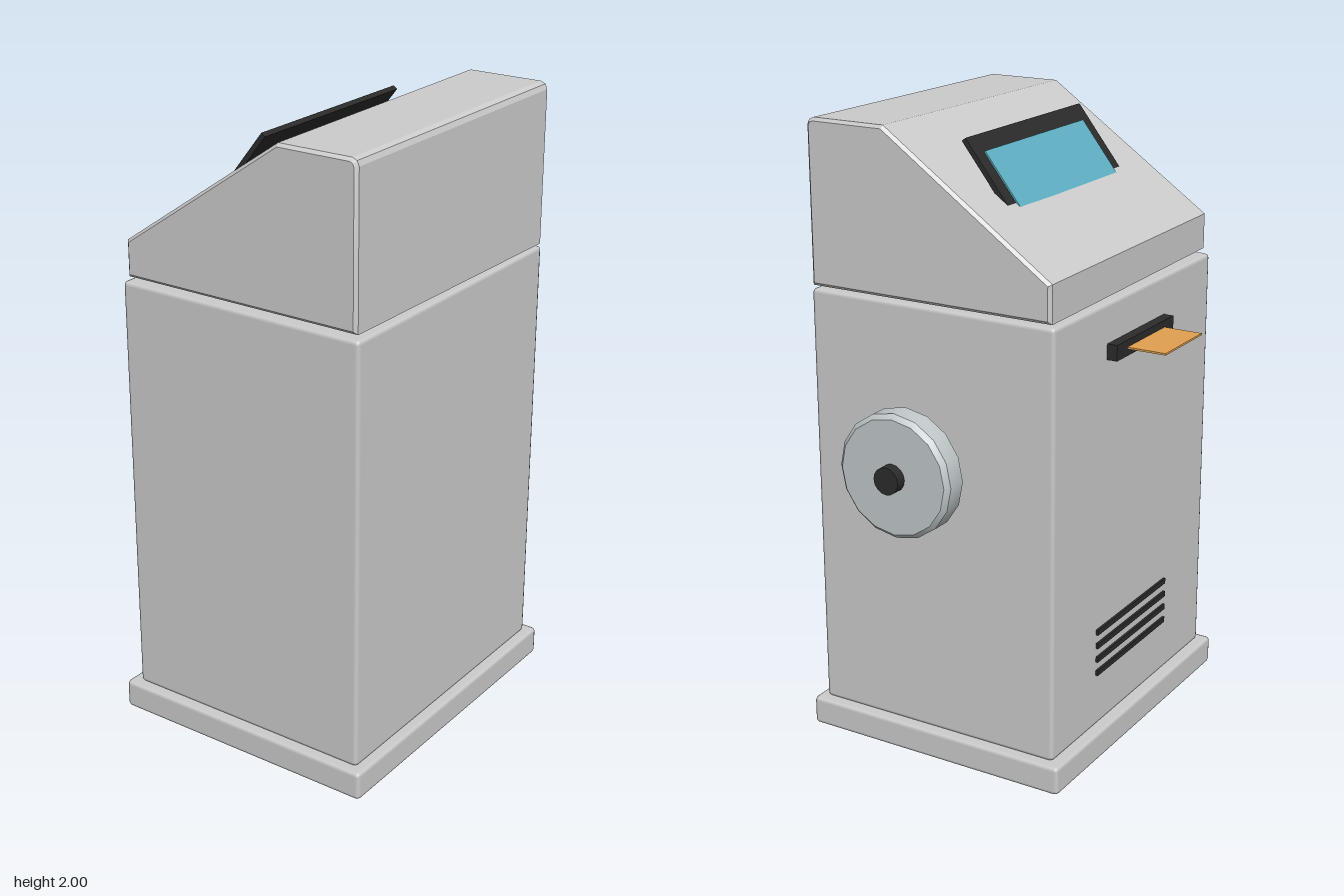
import * as THREE from 'three';
import { RoundedBoxGeometry } from 'three/addons/geometries/RoundedBoxGeometry.js';
import { toCreasedNormals } from 'three/addons/utils/BufferGeometryUtils.js';

const paint = (color) => new THREE.MeshStandardMaterial({ color });

export function createModel() {
  const group = new THREE.Group();
  const grey = paint(0xcccccc);
  const dark = paint(0x2b2b2b);
  const steel = paint(0xc0c8ca);
  const teal = paint(0x5fb0c4);
  const orange = paint(0xe0a050);

  const add = (name, geometry, material, x = 0, y = 0, z = 0, parent = group) => {
    const mesh = new THREE.Mesh(geometry, material);
    mesh.name = name;
    mesh.position.set(x, y, z);
    parent.add(mesh);
    return mesh;
  };
  // Softly bevelled box given by its minimum and maximum corners
  const block = (name, a, b, radius) => add(
    name,
    new RoundedBoxGeometry(b[0] - a[0], b[1] - a[1], b[2] - a[2], 1, radius),
    grey,
    (a[0] + b[0]) / 2, (a[1] + b[1]) / 2, (a[2] + b[2]) / 2,
  );

  // Plinth and cabinet
  block('base', [-0.585, 0, -0.4], [0.488, 0.095, 0.52], 0.014);
  block('cabinet', [-0.555, 0.092, -0.364], [0.455, 1.478, 0.49], 0.014);

  // Sloped head: side profile extruded along x, narrowing slightly to one end
  const b = 0.01;
  const profile = new THREE.Shape([
    [-0.488, 1.486], [0.352, 1.486], [0.352, 1.604], [-0.216, 2], [-0.465, 2], [-0.481, 1.993], [-0.488, 1.977],
  ].map(([x, y]) => new THREE.Vector2(x, y)));
  const head = new THREE.ExtrudeGeometry(profile, {
    depth: 1.01 - 2 * b, bevelSize: b, bevelOffset: -b, bevelThickness: b, bevelSegments: 1,
  });
  head.rotateY(Math.PI / 2).translate(-0.555 + b, 0, 0);
  const p = head.attributes.position;
  for (let i = 0; i < p.count; i++) {
    const t = (0.455 - p.getX(i)) / 1.01;
    p.setY(i, 1.74 + (p.getY(i) - 1.74) * (1 - 0.03 * t));
    p.setZ(i, 0.068 + (p.getZ(i) - 0.068) * (1 - 0.018 * t));
  }
  add('head', toCreasedNormals(head, 0.3), grey);

  // Tilted display, its lower edge sunk into the slope
  const display = new THREE.Group();
  display.name = 'display';
  display.position.set(-0.0475, 1.95, 0.04);
  display.rotation.set(Math.atan2(0.13, 0.165), Math.PI, 0, 'YXZ');
  display.rotation.x = -Math.atan2(0.13, 0.165);
  group.add(display);
  add('displayFrame', new THREE.BoxGeometry(0.675, 0.28, 0.016), dark, 0, -0.14, 0, display);
  add('displayGlass', new THREE.BoxGeometry(0.585, 0.2, 0.008), teal, 0, -0.157, 0.009, display);

  // Hand wheel with hub on the left side
  const wheelProfile = [[0, 0], [0.185, 0], [0.2, 0.015], [0.2, 0.08], [0.185, 0.095], [0, 0.095]]
    .map(([r, y]) => new THREE.Vector2(r, y));
  const wheel = new THREE.LatheGeometry(wheelProfile, 16);
  const wheelMesh = add('wheel', toCreasedNormals(wheel, 0.5), steel, 0.455, 0.96, 0.14);
  wheelMesh.rotation.z = -Math.PI / 2;
  const hub = add('wheelHub', new THREE.CylinderGeometry(0.044, 0.044, 0.07, 16), dark, 0.55, 0.96, 0.14);
  hub.rotation.z = -Math.PI / 2;

  // Ticket slot and ticket on the back
  add('ticketSlot', new THREE.BoxGeometry(0.37, 0.05, 0.04), dark, -0.045, 1.327, -0.378);
  add('ticket', new THREE.BoxGeometry(0.245, 0.006, 0.14), orange, -0.0475, 1.327, -0.456);

  // Ventilation slats on the back
  for (let i = 0; i < 4; i++) {
    add('vent', new THREE.BoxGeometry(0.46, 0.018, 0.02), dark, -0.045, 0.28 + i * 0.047, -0.362);
  }
  return group;
}
